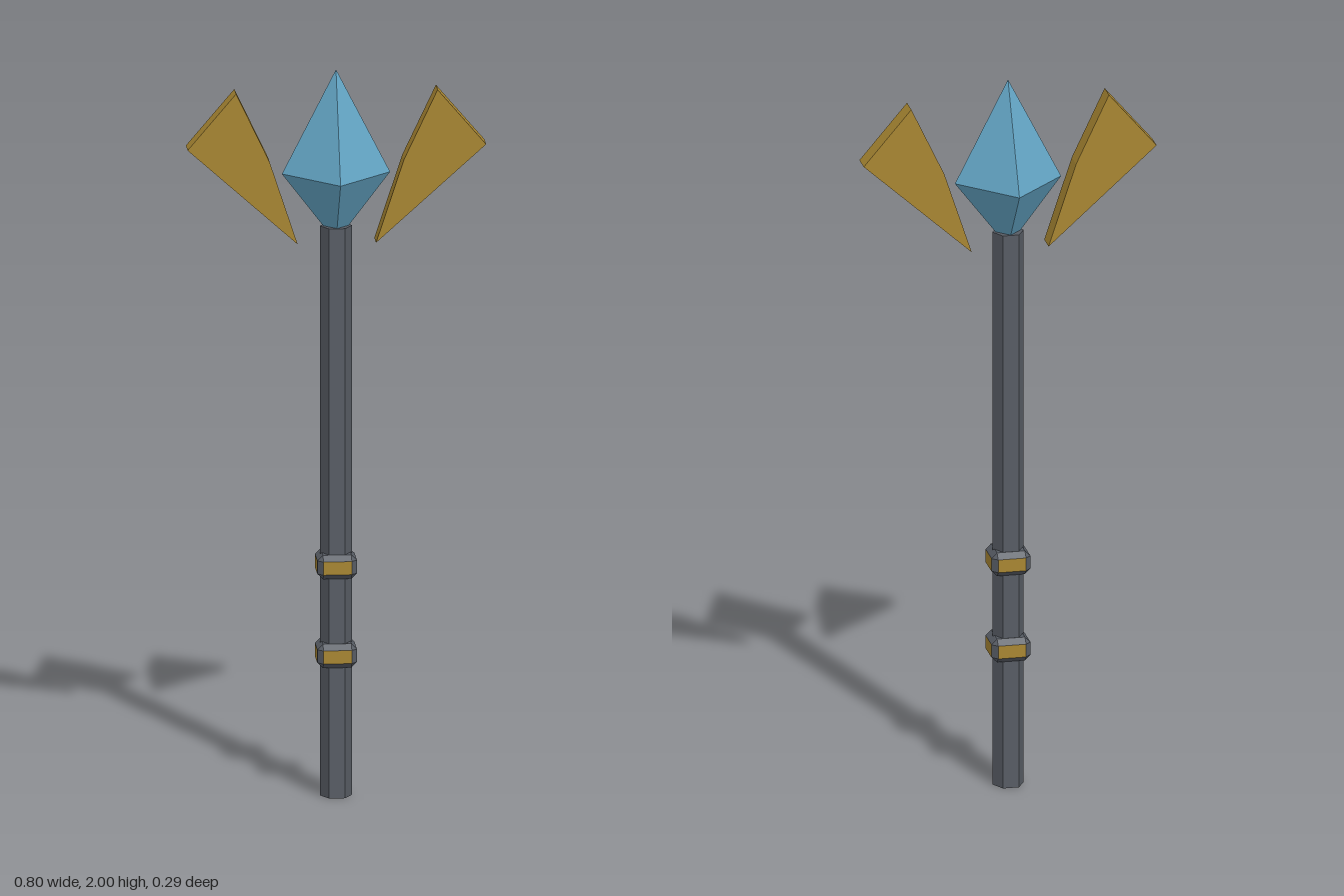
import * as THREE from 'three';
import { ConvexGeometry } from 'three/addons/geometries/ConvexGeometry.js';

const paint = (color) => new THREE.MeshStandardMaterial({ color, flatShading: true });

// Box with every edge cut back by c; w and h are half sizes
function chamferedBox(w, h, c) {
  const points = [];
  for (const x of [-1, 1]) for (const y of [-1, 1]) for (const z of [-1, 1]) {
    points.push(
      new THREE.Vector3(x * w, y * (h - c), z * (w - c)),
      new THREE.Vector3(x * (w - c), y * h, z * (w - c)),
      new THREE.Vector3(x * (w - c), y * (h - c), z * w));
  }
  return new ConvexGeometry(points);
}

export function createModel() {
  const model = new THREE.Group();
  model.name = 'staff';
  const steel = paint(0x575c64), gold = paint(0xa88632), blue = paint(0x64a6c6);

  function add(parent, name, geometry, material, y = 0) {
    const mesh = new THREE.Mesh(geometry, material);
    mesh.name = name;
    mesh.position.y = y;
    parent.add(mesh);
    return mesh;
  }

  // Hexagonal shaft with corners on the x axis
  const shaft = new THREE.CylinderGeometry(0.043, 0.043, 1.57, 6);
  shaft.rotateY(Math.PI / 6);
  add(model, 'shaft', shaft, steel, 0.785);

  // Square grip rings with a gold plate on each side
  for (const [name, y] of [['lowerRing', 0.393], ['upperRing', 0.638]]) {
    const ring = new THREE.Group();
    ring.name = name;
    ring.position.y = y;
    add(ring, 'ringBody', chamferedBox(0.053, 0.033, 0.015), steel);
    for (let i = 0; i < 4; i++) {
      const plate = new THREE.PlaneGeometry(0.076, 0.036);
      plate.translate(0, 0, 0.0535);
      plate.rotateY(i * Math.PI / 2);
      add(ring, 'ringPlate', plate, gold);
    }
    model.add(ring);
  }

  // Four-sided crystal, its lower tip sunk in the shaft
  const top = new THREE.ConeGeometry(0.145, 0.285, 4, 1, true);
  add(model, 'crystalTop', top, blue, 1.8575);
  const bottom = new THREE.ConeGeometry(0.145, 0.19, 4, 1, true);
  bottom.rotateX(Math.PI);
  add(model, 'crystalBottom', bottom, blue, 1.62);

  // Flat gold wings floating beside the crystal
  const outline = [[0.105, 1.527], [0.4, 1.792], [0.27, 1.945], [0.18, 1.755]];
  for (const side of [-1, 1]) {
    const shape = new THREE.Shape(outline.map(([x, y]) => new THREE.Vector2(side * x, y)));
    const wing = new THREE.ExtrudeGeometry(shape, { depth: 0.055, bevelEnabled: false });
    wing.translate(0, 0, -0.0275);
    add(model, side > 0 ? 'leftWing' : 'rightWing', wing, gold);
  }
  return model;
}
